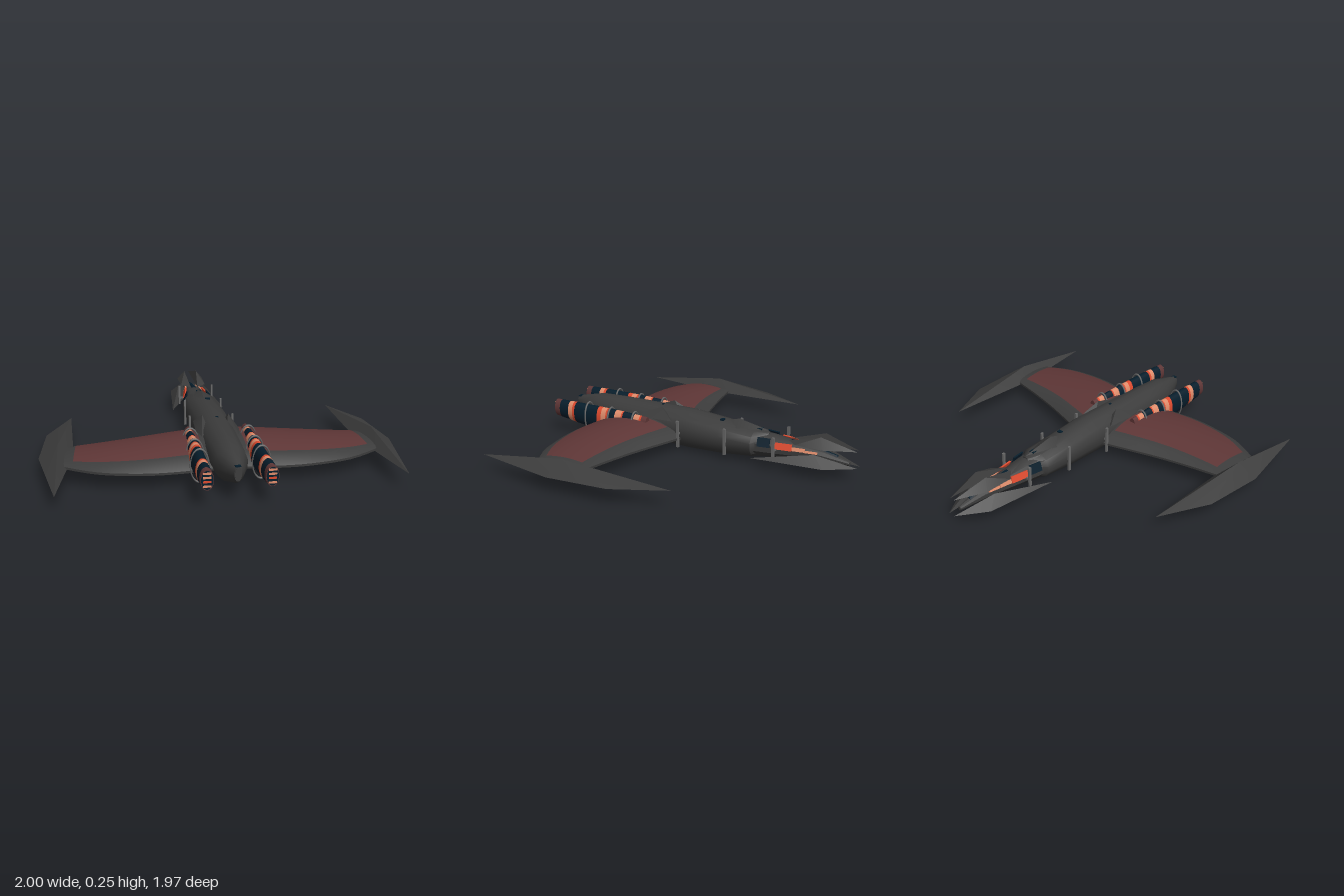
import * as THREE from 'three';
import { toCreasedNormals } from 'three/addons/utils/BufferGeometryUtils.js';

const mat = (name, color) => new THREE.MeshStandardMaterial({ name, color });
const charcoal = mat('charcoal', 0x3c3c3c);
const steel = mat('steel', 0x686868);
const maroon = mat('maroon', 0x5e3636);
const navy = mat('navy', 0x061d2b);
const salmon = mat('salmon', 0xdf8c6b);
const red = mat('red', 0xdc4a2e);

function fromTriangles(points, index) {
  const g = new THREE.BufferGeometry();
  g.setAttribute('position', new THREE.Float32BufferAttribute(points.flat(), 3));
  g.setIndex(index);
  return toCreasedNormals(g, 0.6);
}

// Elliptical loft through sections [z, halfWidth, yBottom, yTop], listed front to back
function loft(sections, sides, cx = 0) {
  const first = sections[0], last = sections[sections.length - 1];
  const cap = s => [s[0], 0, (s[2] + s[3]) / 2, (s[2] + s[3]) / 2];
  const rows = [cap(first), ...sections, cap(last)];
  const pts = [], idx = [];
  rows.forEach(([z, w, lo, hi], i) => {
    for (let j = 0; j < sides; j++) {
      const a = (j + 0.5) / sides * Math.PI * 2;
      pts.push([cx + w * Math.cos(a), (lo + hi) / 2 + (hi - lo) / 2 * Math.sin(a), z]);
      if (i === rows.length - 1) continue;
      const k = (j + 1) % sides, n = i * sides;
      if (i < rows.length - 2) idx.push(n + j, n + sides + j, n + sides + k);
      if (i > 0) idx.push(n + j, n + sides + k, n + k);
    }
  });
  return fromTriangles(pts, idx);
}

// Flat-bottomed blade: outline [x, z] running front, outer side, back, with one raised peak
function blade(outline, y, peak) {
  const n = outline.length;
  const pts = [...outline.map(([x, z]) => [x, y, z]), peak, [peak[0], y, peak[2]]];
  const idx = [];
  for (let i = 0; i < n; i++) {
    const k = (i + 1) % n;
    idx.push(n, i, k, n + 1, k, i);
  }
  return fromTriangles(pts, idx);
}

function mirrored(geo) {
  const g = geo.clone().scale(-1, 1, 1);
  const count = g.attributes.position.count;
  const src = g.index ? Array.from(g.index.array) : Array.from({ length: count }, (_, i) => i);
  for (let i = 0; i < src.length; i += 3) [src[i], src[i + 1]] = [src[i + 1], src[i]];
  g.setIndex(src);
  return g;
}

// Piecewise linear lookup in rows of [key, values...], keys descending
function sample(rows, key) {
  let i = 0;
  while (i < rows.length - 2 && key < rows[i + 1][0]) i++;
  const a = rows[i], b = rows[i + 1], t = (a[0] - key) / (a[0] - b[0]);
  return a.map((v, c) => v + (b[c] - v) * t);
}

// Wing planform: curved front and back edges, domed upper side
const front = new THREE.SplineCurve([[0.06, 0.66], [0.25, 0.695], [0.45, 0.705], [0.68, 0.665], [0.87, 0.565]].map(p => new THREE.Vector2(...p)));
const back = new THREE.SplineCurve([[0.06, 0.09], [0.25, 0.145], [0.45, 0.2], [0.65, 0.242], [0.85, 0.275]].map(p => new THREE.Vector2(...p)));
function wingPoint(u, v, dome) {
  const f = front.getPoint(u), b = back.getPoint(u);
  const bottom = 0.075 + 0.022 * u;
  const height = 0.013 + (0.09 - 0.076 * u * u) * Math.pow(Math.sin(Math.PI * v), 0.6);
  return [f.x + (b.x - f.x) * v, bottom + (dome ? height : 0), f.y + (b.y - f.y) * v];
}
function wingWall(u, v, t) {
  const a = wingPoint(u, v, false), b = wingPoint(u, v, true);
  return [a[0], a[1] + (b[1] - a[1]) * t, a[2]];
}
function patch(u0, u1, v0, v1, nu, nv, fn, flip) {
  const pts = [], idx = [];
  for (let i = 0; i <= nu; i++) for (let j = 0; j <= nv; j++) {
    pts.push(fn(u0 + (u1 - u0) * i / nu, v0 + (v1 - v0) * j / nv));
    if (i === nu || j === nv) continue;
    const a = i * (nv + 1) + j, b = a + 1, c = a + nv + 2, d = a + nv + 1;
    idx.push(...(flip ? [a, b, c, a, c, d] : [a, c, b, a, d, c]));
  }
  return fromTriangles(pts, idx);
}

export function createModel() {
  const model = new THREE.Group();
  model.name = 'spacecraft';
  const add = (name, geo, material) => {
    const m = new THREE.Mesh(geo, material);
    m.name = name;
    model.add(m);
  };
  const pair = (name, geo, material) => {
    add(name + 'Left', geo, material);
    add(name + 'Right', mirrored(geo), material);
  };

  // Central hull and tail
  add('hull', loft([[0.935, 0.02, 0.12, 0.2], [0.88, 0.045, 0.09, 0.215], [0.75, 0.09, 0.04, 0.243],
    [0.6, 0.1, 0.028, 0.247], [0.3, 0.11, 0.01, 0.247], [0.07, 0.115, 0.003, 0.245], [-0.15, 0.113, 0.01, 0.222],
    [-0.36, 0.108, 0.03, 0.2], [-0.44, 0.035, 0.06, 0.19]], 14), charcoal);
  add('tailBoom', loft([[-0.36, 0.092, 0.034, 0.188], [-0.47, 0.08, 0.043, 0.18], [-0.6, 0.062, 0.055, 0.165],
    [-0.78, 0.035, 0.068, 0.14], [-0.93, 0.012, 0.075, 0.1]], 10), charcoal);
  add('tailSpine', loft([[-0.58, 0.024, 0.12, 0.172], [-0.72, 0.02, 0.11, 0.154], [-0.86, 0.013, 0.09, 0.126]], 8), navy);
  add('noseTip', new THREE.CylinderGeometry(0.018, 0.018, 0.006, 12).rotateX(Math.PI / 2).scale(1, 1.9, 1).translate(0, 0.16, 0.936), charcoal);
  add('noseMark', new THREE.BoxGeometry(0.03, 0.006, 0.02).translate(0, 0.201, 0.925), navy);
  add('dorsalFin', blade([[0, -0.11], [0.06, -0.25], [0, -0.44], [-0.06, -0.25]], 0.197, [0, 0.238, -0.24]), charcoal);
  add('backMark', new THREE.BoxGeometry(0.03, 0.008, 0.022).translate(0.02, 0.221, -0.14), navy);
  add('midMark', new THREE.BoxGeometry(0.014, 0.008, 0.014).translate(0.005, 0.245, 0.285), navy);
  add('finMark', new THREE.BoxGeometry(0.03, 0.008, 0.07).translate(0, 0.2, -0.36), navy);

  // Coloured plates on the tail boom, lying along its taper
  const boomPlate = (name, x, y, z, h, d, material) =>
    pair(name, new THREE.BoxGeometry(0.009, h, d).rotateZ(0.35).rotateY(0.14).translate(x, y, z), material);
  boomPlate('tailNavyMark', 0.077, 0.148, -0.435, 0.055, 0.075, navy);
  boomPlate('tailRedMark', 0.068, 0.14, -0.55, 0.04, 0.11, red);
  boomPlate('tailSalmonMark', 0.054, 0.133, -0.64, 0.022, 0.08, salmon);
  boomPlate('tailSalmonTip', 0.041, 0.126, -0.715, 0.014, 0.07, salmon);

  pair('lowerTailBlade', blade([[0.167, -0.39], [0.13, -0.82], [0.02, -0.985], [0.045, -0.68]], 0.075, [0.085, 0.135, -0.75]), charcoal);
  pair('upperTailBlade', blade([[0.022, -0.57], [0.08, -0.63], [0.085, -0.8], [0.015, -0.975]], 0.17, [0.04, 0.228, -0.77]), charcoal);
  pair('shoulderFairing', blade([[0.105, 0.43], [0.125, 0.33], [0.115, 0.16], [0.05, 0.2], [0.05, 0.36]], 0.185, [0.075, 0.252, 0.25]), charcoal);

  // Wings, inset panels and wingtip blades
  pair('wingTop', patch(0, 1, 0, 1, 16, 14, (u, v) => wingPoint(u, v, true)), charcoal);
  pair('wingUnderside', patch(0, 1, 0, 1, 16, 2, (u, v) => wingPoint(u, v, false), true), charcoal);
  pair('wingFrontEdge', patch(0, 1, 0, 1, 16, 1, (u, t) => wingWall(u, 0, t)), charcoal);
  pair('wingBackEdge', patch(0, 1, 0, 1, 16, 1, (u, t) => wingWall(u, 1, t), true), charcoal);
  pair('wingEnd', patch(0, 1, 0, 1, 14, 1, (v, t) => wingWall(1, v, t)), charcoal);
  pair('wingPanel', patch(0.1, 0.91, 0.15, 0.86, 16, 14, (u, v) => {
    const p = wingPoint(u, v, true);
    return [p[0], p[1] + 0.004, p[2]];
  }), maroon);
  pair('wingtipBlade', blade([[0.91, 0.925], [1, 0.4], [0.965, 0.03], [0.82, -0.27], [0.812, 0.25], [0.85, 0.59]], 0.097, [0.892, 0.17, 0.38]), charcoal);

  // Banded engine tubes
  const tube = [[0.985, 0.034, 0.105, 0.215], [0.75, 0.039, 0.07, 0.217], [0.5, 0.038, 0.045, 0.213], [0.3, 0.029, 0.045, 0.203]];
  const bands = [[0.985, maroon], [0.947, navy], [0.88, salmon], [0.848, red], [0.83, navy], [0.655, red], [0.625, salmon],
    [0.59, red], [0.577, navy], [0.525, salmon], [0.478, red], [0.468, navy], [0.39, salmon], [0.35, red], [0.337, maroon], [0.3]];
  for (let i = 0; i < bands.length - 1; i++)
    pair('engineBand' + (i + 1), loft([sample(tube, bands[i][0]), sample(tube, bands[i + 1][0])], 20, 0.165), bands[i][1]);
  // Dark engine mouths with salmon and red stripes
  pair('engineMouth', new THREE.CylinderGeometry(0.031, 0.031, 0.004, 20).rotateX(Math.PI / 2).scale(1, 1.62, 1).translate(0.165, 0.16, 0.985), navy);
  for (const [y, material] of [[0.128, salmon], [0.152, red], [0.174, salmon], [0.196, salmon]])
    pair('engineMouthStripe', new THREE.BoxGeometry(0.042, 0.011, 0.004).translate(0.165, y, 0.987), material);

  // Engine hoops and hull posts
  for (const [z, y] of [[0.735, 0.138], [0.565, 0.13], [0.39, 0.13]])
    pair('engineHoop', new THREE.TorusGeometry(0.092, 0.006, 6, 28).scale(0.53, 1, 1).translate(0.165, y, z), steel);
  for (const [x, z, lo, hi] of [[0.128, 0.11, 0.035, 0.2], [0.113, -0.2, 0.04, 0.2], [0.108, -0.51, 0.08, 0.2]]) {
    pair('hullPost', new THREE.BoxGeometry(0.012, hi - lo, 0.016).translate(x, (lo + hi) / 2, z), steel);
    pair('postBracket', new THREE.BoxGeometry(0.04, 0.012, 0.012).translate(x - 0.02, 0.12, z), steel);
  }
  return model;
}
